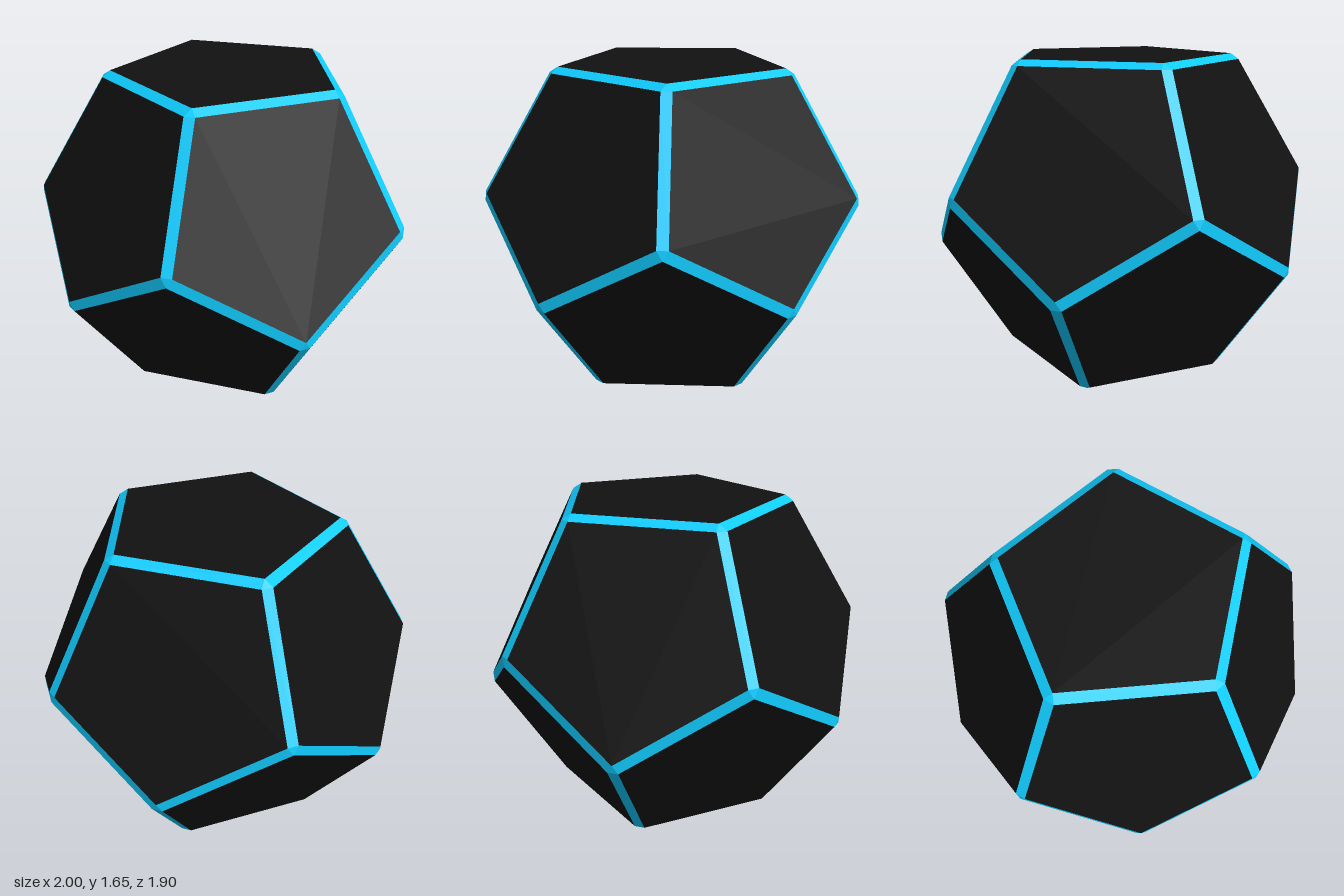
import * as THREE from 'three';
import { mergeGeometries } from 'three/addons/utils/BufferGeometryUtils.js';

const INRADIUS = 0.823; // centre to face
const INSET = 0.061;    // how far each panel corner moves toward the panel centre

// Flat convex polygon, corners sorted counter-clockwise as seen from outside
function polygon(points) {
  const c = new THREE.Vector3();
  points.forEach(p => c.addScaledVector(p, 1 / points.length));
  const n = c.clone().normalize();
  const u = points[0].clone().sub(c).normalize();
  const w = n.clone().cross(u);
  const angle = p => {
    const q = p.clone().sub(c);
    return Math.atan2(q.dot(w), q.dot(u));
  };
  const ring = [...points].sort((a, b) => angle(a) - angle(b));
  const corners = [];
  for (let i = 1; i < ring.length - 1; i++) corners.push(ring[0], ring[i], ring[i + 1]);
  const geometry = new THREE.BufferGeometry().setFromPoints(corners);
  geometry.computeVertexNormals();
  return geometry;
}

export function createModel() {
  const model = new THREE.Group();
  model.name = 'bevelledDodecahedron';
  const dark = new THREE.MeshStandardMaterial({ color: 0x111111, flatShading: true });
  const cyan = new THREE.MeshStandardMaterial({ color: 0x10ccff, flatShading: true });

  // Twelve face normals: top, five around the upper half, and their opposites
  const normals = [new THREE.Vector3(0, 1, 0)];
  for (let k = 0; k < 5; k++) {
    const a = k * Math.PI * 2 / 5;
    normals.push(new THREE.Vector3(2 * Math.cos(a), 1, 2 * Math.sin(a)).normalize());
  }
  normals.push(...normals.map(n => n.clone().negate()));
  const adjacent = (i, j) => normals[i].dot(normals[j]) > 0.4;

  // Every three mutually adjacent faces meet at a vertex; each face keeps an inset corner there
  const vertices = [];
  for (let i = 0; i < 12; i++)
    for (let j = i + 1; j < 12; j++)
      for (let k = j + 1; k < 12; k++) {
        if (!adjacent(i, j) || !adjacent(j, k) || !adjacent(i, k)) continue;
        const v = normals[i].clone().add(normals[j]).add(normals[k]);
        v.multiplyScalar(INRADIUS / v.dot(normals[i]));
        const corner = {};
        for (const f of [i, j, k])
          corner[f] = v.clone().lerp(normals[f].clone().multiplyScalar(INRADIUS), INSET);
        vertices.push(corner);
      }

  const add = (name, geometry, material) => {
    const mesh = new THREE.Mesh(geometry, material);
    mesh.name = name;
    mesh.position.y = INRADIUS;
    model.add(mesh);
  };

  // Dark pentagon panels and the bevel strips between neighbouring panels
  const strips = [];
  for (let i = 0; i < 12; i++) {
    add('facePanel', polygon(vertices.filter(v => v[i]).map(v => v[i])), dark);
    for (let j = i + 1; j < 12; j++)
      if (adjacent(i, j))
        strips.push(polygon(vertices.filter(v => v[i] && v[j]).flatMap(v => [v[i], v[j]])));
  }
  add('edgeBevels', mergeGeometries(strips), cyan);

  // Small triangles closing the corners
  add('cornerBevels', mergeGeometries(vertices.map(v => polygon(Object.values(v)))), cyan);
  return model;
}
